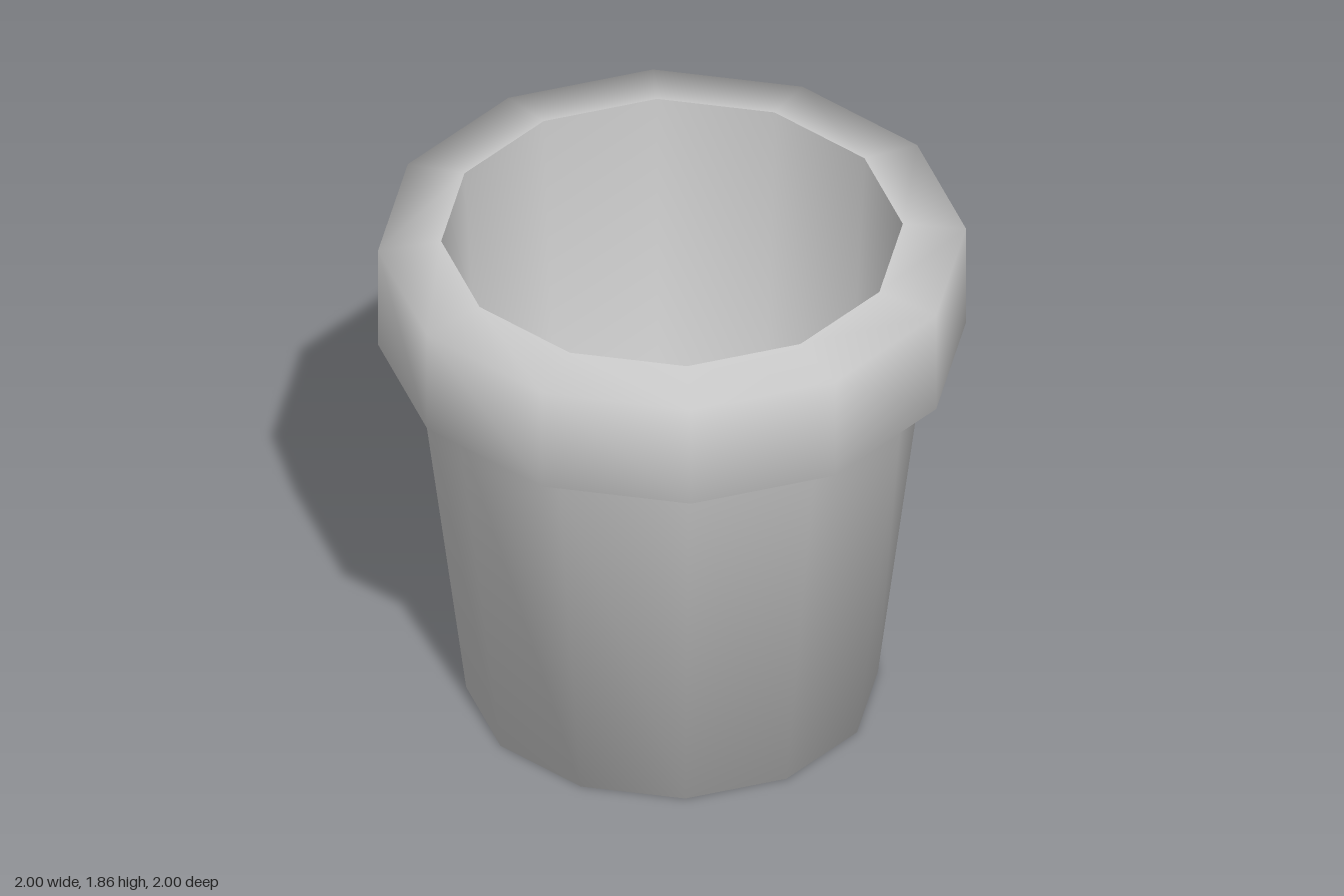
import * as THREE from 'three';

const SIDES = 12;
const material = new THREE.MeshStandardMaterial({ color: 0xcccccc });

// Smooth-shaded, twelve-sided turned part from a half-section of [radius, height]
function turned(name, section) {
  const points = section.map(([r, y]) => new THREE.Vector2(r, y));
  const mesh = new THREE.Mesh(new THREE.LatheGeometry(points, SIDES), material);
  mesh.name = name;
  return mesh;
}

export function createModel() {
  const group = new THREE.Group();
  group.name = 'flowerPot';

  // Flat base, tapered wall and overhanging rim up to the lip
  group.add(turned('outerShell', [
    [0, 0], [0.7, 0],
    [0.87, 1.38],
    [1, 1.44], [1, 1.83], [0.785, 1.86],
  ]));

  // Inner wall from the lip down to the deep floor
  group.add(turned('innerShell', [
    [0.785, 1.86], [0.69, 0.1], [0, 0.1],
  ]));

  return group;
}
